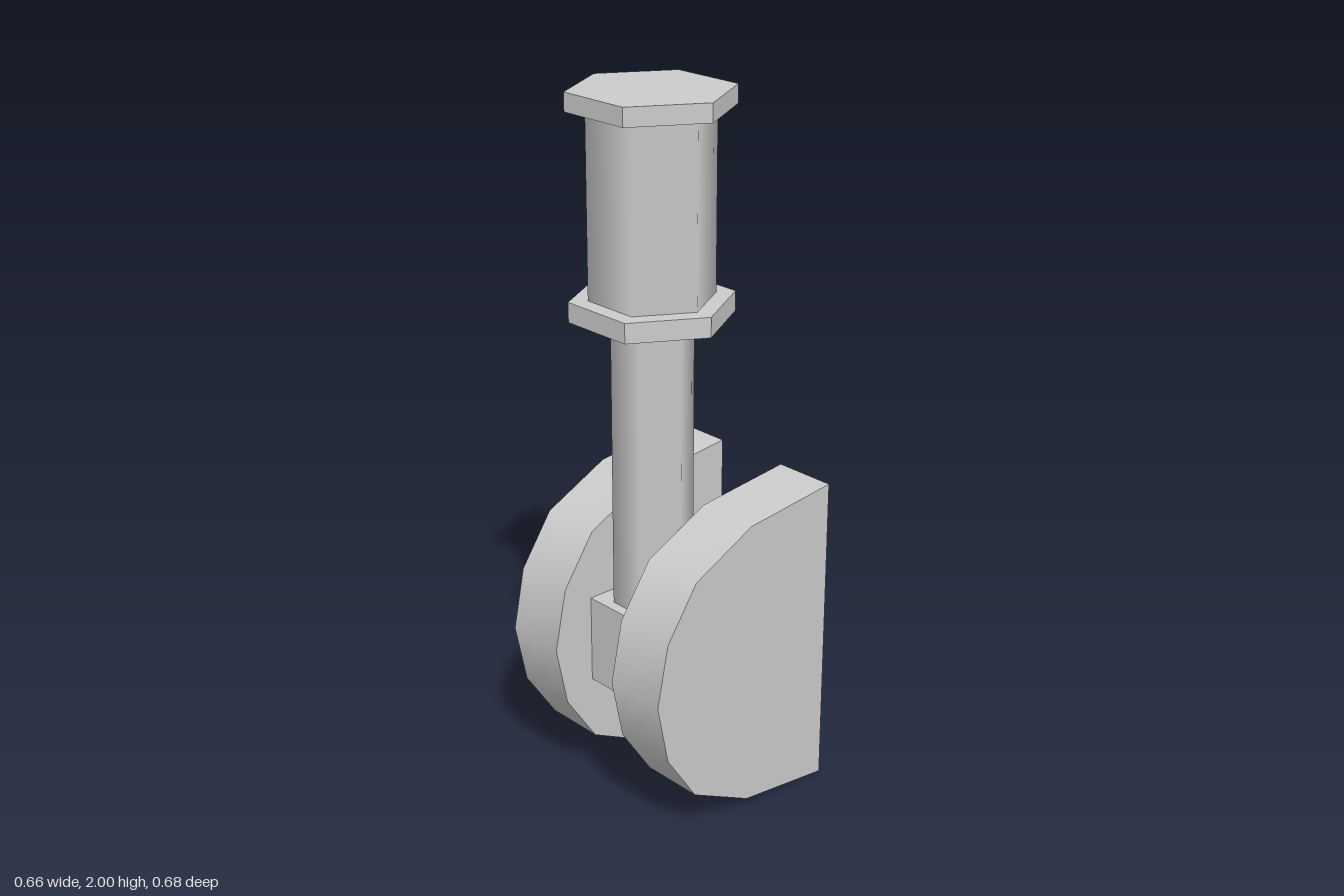
import * as THREE from 'three';

export function createModel() {
  const model = new THREE.Group();
  model.name = 'landingGear';
  model.rotation.y = 0.096; // the whole assembly is steered slightly

  const grey = new THREE.MeshStandardMaterial({ color: 0xcccccc });
  const flat = new THREE.MeshStandardMaterial({ color: 0xcccccc, flatShading: true });
  const thin = new THREE.MeshStandardMaterial({ color: 0xcccccc, side: THREE.DoubleSide });
  const legZ = 0.058;

  const add = (name, geometry, material, parent = model) => {
    const mesh = new THREE.Mesh(geometry, material);
    mesh.name = name;
    parent.add(mesh);
    return mesh;
  };

  // Six-sided leg pieces with two corners on the x axis
  const hexPrism = (name, radius, y0, y1, material) => {
    const g = new THREE.CylinderGeometry(radius, radius, y1 - y0, 6, 1, false, Math.PI / 2);
    add(name, g, material).position.set(0, (y0 + y1) / 2, legZ);
  };
  hexPrism('topFlange', 0.222, 1.95, 2, flat);
  hexPrism('upperCylinder', 0.17, 1.455, 1.95, grey);
  hexPrism('lowerFlange', 0.222, 1.4, 1.455, flat);
  hexPrism('strut', 0.112, 0.45, 1.4, grey);

  // Axle block, reaching just through the inner wheel walls
  add('axleBlock', new THREE.BoxGeometry(0.256, 0.256, 0.256), flat).position.set(0, 0.448, legZ);

  // Half-round wheel outline (z, y) from top rear over the front to bottom rear
  const upper = [[-0.313, 0.91], [-0.02, 0.876], [0.178, 0.777], [0.277, 0.63], [0.313, 0.455]];
  const outline = [...upper, ...upper.slice(0, 4).reverse().map(([z, y]) => [z, 0.91 - y])];

  // Hollow wheel cover: curved rim and two walls, open at the rear
  const inner = 0.117, outer = 0.301;
  const wallShape = new THREE.Shape(outline.map(([z, y]) => new THREE.Vector2(-z, y)));
  for (const [side, s] of [['left', 1], ['right', -1]]) {
    const wheel = new THREE.Group();
    wheel.name = side + 'Wheel';
    model.add(wheel);

    const positions = [], index = [];
    const [xa, xb] = s > 0 ? [inner, outer] : [-outer, -inner];
    outline.forEach(([z, y], i) => {
      positions.push(xa, y, z, xb, y, z);
      const a = i * 2;
      if (i < outline.length - 1) index.push(a, a + 2, a + 1, a + 1, a + 2, a + 3);
    });
    const rim = new THREE.BufferGeometry();
    rim.setAttribute('position', new THREE.Float32BufferAttribute(positions, 3));
    rim.setIndex(index);
    rim.computeVertexNormals();
    add('wheelRim', rim, thin, wheel);

    for (const [name, x] of [['innerWall', inner], ['outerWall', outer]]) {
      const wall = new THREE.ShapeGeometry(wallShape).rotateY(Math.PI / 2);
      add(name, wall, thin, wheel).position.x = s * x;
    }
  }

  const root = new THREE.Group();
  root.add(model);
  return root;
}
